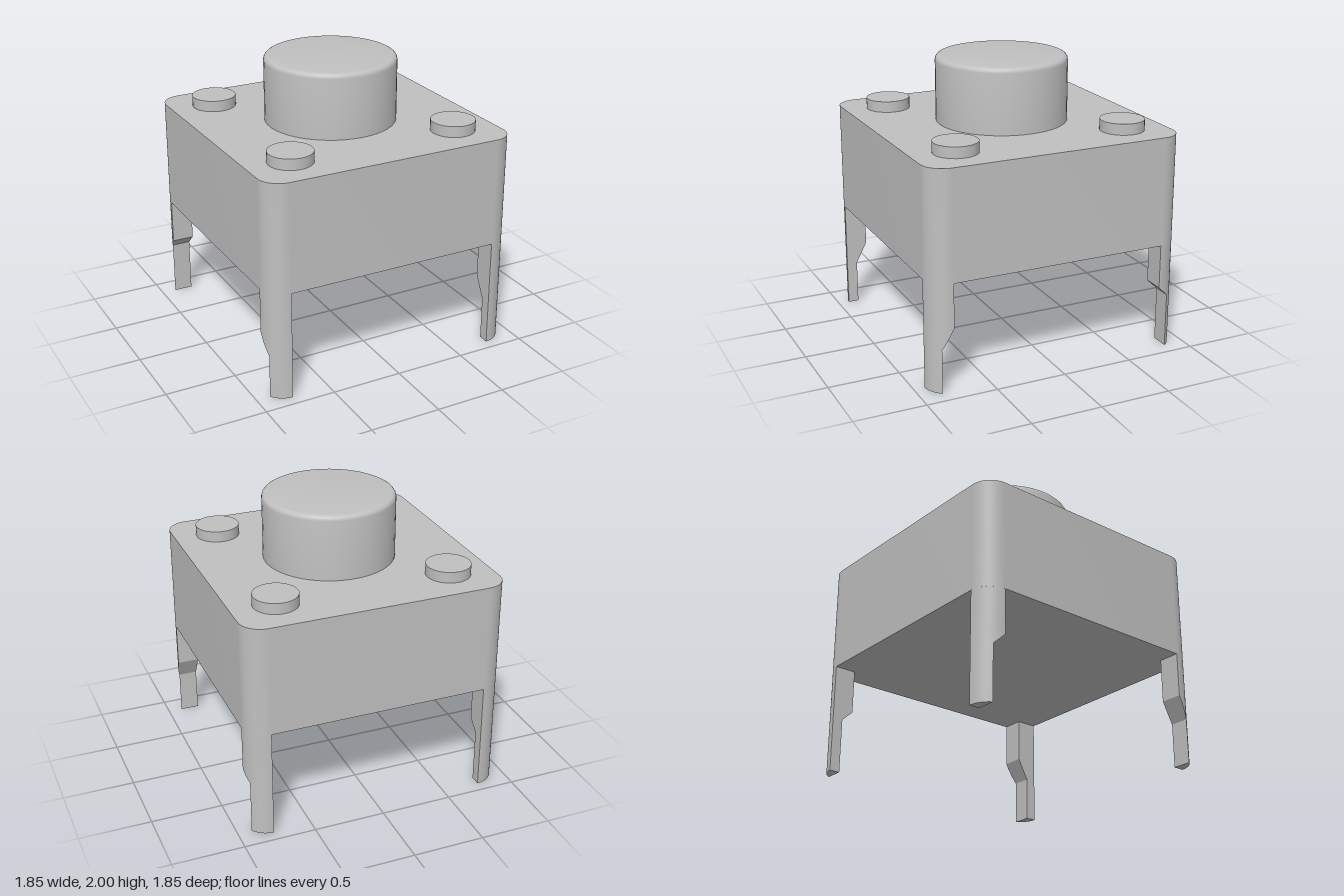
import * as THREE from 'three';
import { toCreasedNormals } from 'three/addons/utils/BufferGeometryUtils.js';

const HALF = 0.923, CORNER = 0.154, INNER = HALF - CORNER; // housing plan
const BASE = 0.77, TOP = 1.54;                             // housing heights

// Square housing with rounded vertical corners
function housingGeometry() {
  const s = new THREE.Shape();
  s.absarc(INNER, INNER, CORNER, 0, Math.PI / 2);
  s.absarc(-INNER, INNER, CORNER, Math.PI / 2, Math.PI);
  s.absarc(-INNER, -INNER, CORNER, Math.PI, Math.PI * 1.5);
  s.absarc(INNER, -INNER, CORNER, Math.PI * 1.5, Math.PI * 2);
  s.closePath();
  const g = new THREE.ExtrudeGeometry(s, { depth: TOP - BASE, bevelEnabled: false, curveSegments: 10 });
  g.rotateX(-Math.PI / 2).translate(0, BASE, 0);
  return toCreasedNormals(g, 0.4);
}

// Corner leg: quarter-round column whose inner face slopes out to a thin foot
function legGeometry(sx, sz, footTop) {
  const shoulder = 0.46, thin = 0.848, arcSteps = 10;
  const levels = [[0, thin]];
  for (let i = 0; i <= 6; i++) {
    const t = i / 6;
    levels.push([footTop + (shoulder - footTop) * t, thin + (INNER - thin) * t]);
  }
  levels.push([BASE, INNER]);

  const n = arcSteps + 2, pos = [], index = [];
  const tri = (a, b, c) => (sx * sz > 0 ? index.push(a, b, c) : index.push(a, c, b));
  for (const [y, zi] of levels) {
    pos.push(sx * INNER, y, sz * zi);
    const end = Math.asin((zi - INNER) / CORNER);
    for (let i = 0; i <= arcSteps; i++) {
      const a = Math.PI / 2 + (end - Math.PI / 2) * i / arcSteps;
      pos.push(sx * (INNER + CORNER * Math.cos(a)), y, sz * (INNER + CORNER * Math.sin(a)));
    }
  }
  for (let j = 0; j < levels.length - 1; j++) {
    for (let i = 0; i < n; i++) {
      const a = j * n + i, b = j * n + (i + 1) % n;
      tri(a, b, b + n);
      tri(a, b + n, a + n);
    }
  }
  for (let i = 1; i < n - 1; i++) tri(0, i + 1, i); // sole
  const g = new THREE.BufferGeometry();
  g.setAttribute('position', new THREE.Float32BufferAttribute(pos, 3));
  g.setIndex(index);
  return toCreasedNormals(g, 0.4);
}

// Round plunger with a softened top edge
function buttonGeometry() {
  const radius = 0.46, round = 0.035;
  const profile = [new THREE.Vector2(radius, TOP)];
  for (let i = 0; i <= 5; i++) {
    const a = (i / 5) * Math.PI / 2;
    profile.push(new THREE.Vector2(radius - round + round * Math.cos(a), 2 - round + round * Math.sin(a)));
  }
  profile.push(new THREE.Vector2(0, 2));
  return toCreasedNormals(new THREE.LatheGeometry(profile, 48), 0.4);
}

export function createModel() {
  const model = new THREE.Group();
  model.name = 'pushButtonSwitch';
  const grey = new THREE.MeshStandardMaterial({ color: 0xc0c0c0 });
  grey.name = 'light grey';

  const add = (name, geometry) => {
    const mesh = new THREE.Mesh(geometry, grey);
    mesh.name = name;
    model.add(mesh);
    return mesh;
  };

  add('housing', housingGeometry());
  add('button', buttonGeometry());

  // A rivet and a leg at each corner
  const rivet = new THREE.CylinderGeometry(0.154, 0.154, 0.077, 32);
  for (const sx of [1, -1]) {
    for (const sz of [1, -1]) {
      const corner = (sz > 0 ? 'front' : 'back') + (sx > 0 ? 'Left' : 'Right');
      add(corner + 'Rivet', rivet).position.set(sx * 0.615, TOP + 0.0385, sz * 0.615);
      add(corner + 'Leg', legGeometry(sx, sz, sz > 0 ? 0.31 : 0.385));
    }
  }
  return model;
}
